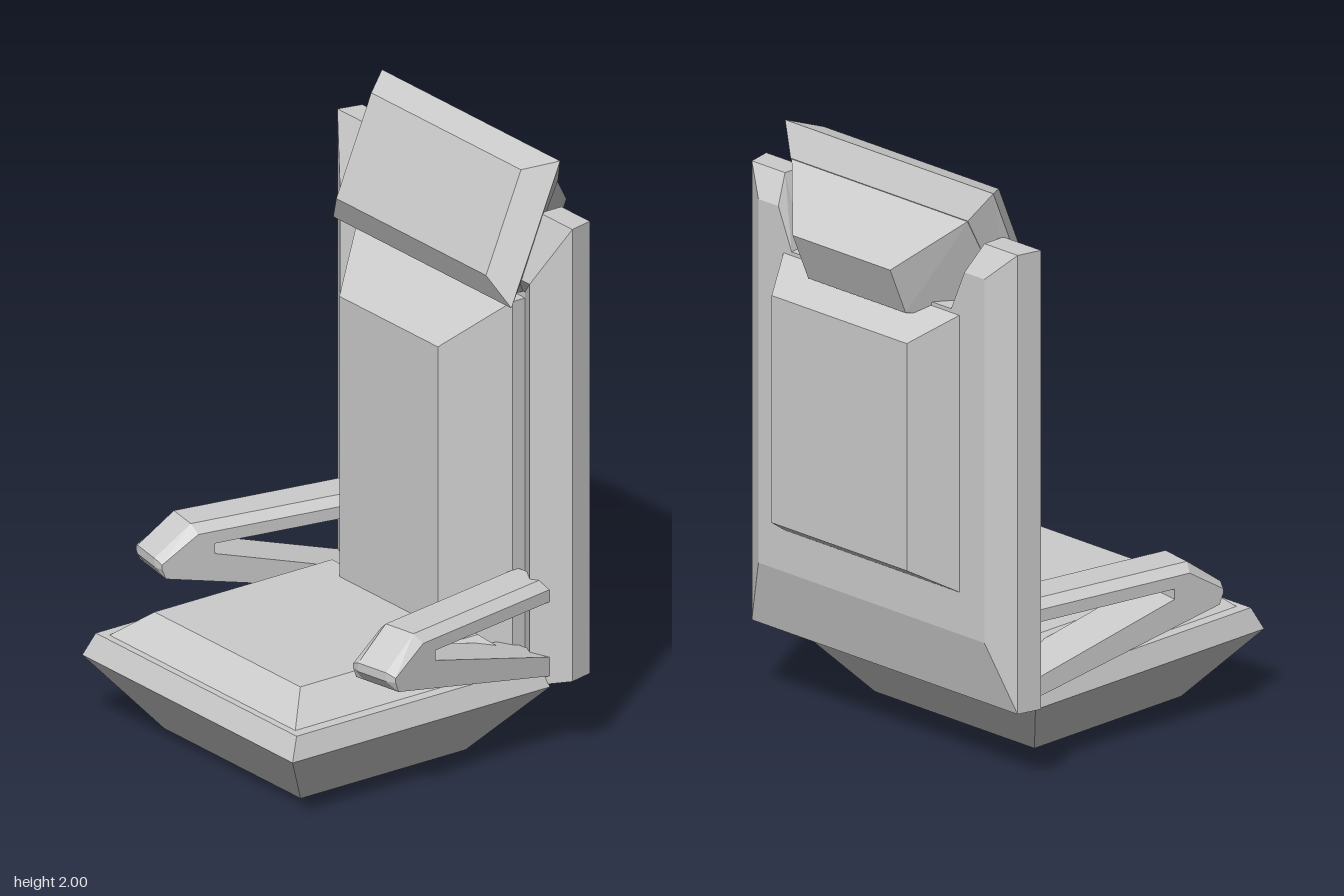
import * as THREE from 'three';

const material = new THREE.MeshStandardMaterial({ color: 0xcccccc, flatShading: true });

// Skins a stack of equal-length rings of [x, y, z]; axis is the stacking direction.
function loft(name, rings, axis = 2) {
  const pos = [];
  let volume = 0;
  const tri = (a, b, c) => {
    const [A, B, C] = [a, b, c].map((p) => new THREE.Vector3(...p));
    volume += A.clone().dot(B.clone().cross(C));
    pos.push([a, b, c]);
  };
  const n = rings[0].length;
  for (let r = 0; r < rings.length - 1; r++) {
    for (let i = 0; i < n; i++) {
      const j = (i + 1) % n;
      const a = rings[r], b = rings[r + 1];
      tri(a[i], a[j], b[j]);
      tri(a[i], b[j], b[i]);
    }
  }
  // end caps
  const cap = (ring, reverse) => {
    const flat = ring.map((p) => new THREE.Vector2(p[(axis + 1) % 3], p[(axis + 2) % 3]));
    const sign = Math.sign(THREE.ShapeUtils.area(flat));
    for (const [i, j, k] of THREE.ShapeUtils.triangulateShape(flat.slice(), [])) {
      const same = Math.sign(THREE.ShapeUtils.area([flat[i], flat[j], flat[k]])) === sign;
      if (same !== reverse) tri(ring[i], ring[j], ring[k]);
      else tri(ring[i], ring[k], ring[j]);
    }
  };
  cap(rings[0], true);
  cap(rings[rings.length - 1], false);
  // turn faces outward
  const faces = volume < 0 ? pos.map(([a, b, c]) => [a, c, b]) : pos;
  const geometry = new THREE.BufferGeometry();
  geometry.setAttribute('position', new THREE.Float32BufferAttribute(faces.flat(2), 3));
  geometry.computeVertexNormals();
  const mesh = new THREE.Mesh(geometry, material);
  mesh.name = name;
  return mesh;
}

// Level rectangle at height y
const slab = (y, w, back, front) =>
  [[-w, y, back], [w, y, back], [w, y, front], [-w, y, front]];

// Upright, optionally tilted rectangle
const panel = (w, y0, z0, y1, z1 = z0) =>
  [[-w, y0, z0], [w, y0, z0], [w, y1, z1], [-w, y1, z1]];

// Backrest outline with a notch in its top edge
function notched(z, w, y0, y1, notchTop, notchBase, notchY) {
  const half = [[w, y0, z], [w, y1, z], [notchTop, y1, z], [notchBase, notchY, z]];
  return [...half, ...half.map(([x, y, q]) => [-x, y, q]).reverse()];
}

// V-shaped armrest, chamfered along its top
function armrest(side) {
  const profile = (drop) => [
    [0.6 - drop, -0.35], [0.6 - drop, 0.27 - drop * 0.4], [0.505 - drop * 0.5, 0.4 - drop * 0.4],
    [0.475, 0.4 - drop * 0.4], [0.44, 0.375], [0.27, -0.35],
    [0.335, -0.35], [0.495, 0.2], [0.53, 0.2], [0.53, -0.35],
  ];
  const rings = [[-0.092, 0.028], [-0.06, 0], [0.06, 0], [0.092, 0.028]]
    .map(([x, drop]) => profile(drop).map(([y, z]) => [x, y, z]));
  const arm = loft(side > 0 ? 'leftArmrest' : 'rightArmrest', rings, 0);
  arm.position.x = side * 0.525;
  arm.rotation.y = side * 0.18;
  return arm;
}

export function createModel() {
  const model = new THREE.Group();
  model.name = 'seat';

  // Seat pan and its cushion
  model.add(loft('seatPan', [
    slab(0, 0.36, -0.16, 0.5),
    slab(0.235, 0.555, -0.35, 0.68),
    slab(0.31, 0.53, -0.33, 0.645),
  ], 1));
  model.add(loft('seatCushion', [
    slab(0.3, 0.49, -0.3, 0.62),
    slab(0.31, 0.49, -0.3, 0.62),
    slab(0.4, 0.385, -0.19, 0.52),
  ], 1));

  // Backrest shell, dished at the front
  model.add(loft('backrestShell', [
    notched(-0.36, 0.41, 0.25, 1.55, 0.4, 0.36, 1.53),
    notched(-0.31, 0.5, 0.23, 1.62, 0.44, 0.38, 1.54),
    notched(-0.39, 0.62, 0.265, 1.83, 0.45, 0.37, 1.6),
    notched(-0.475, 0.6, 0.265, 1.83, 0.45, 0.37, 1.6),
    notched(-0.535, 0.51, 0.5, 1.74, 0.42, 0.36, 1.6),
  ]));

  // Padding on both faces of the backrest
  model.add(loft('backCushion', [
    panel(0.41, 0.3, -0.4, 1.53),
    panel(0.41, 0.3, -0.31, 1.53),
    panel(0.26, 0.3, -0.125, 1.37),
  ]));
  model.add(loft('rearPanel', [
    panel(0.4, 0.64, -0.53, 1.59),
    panel(0.305, 0.73, -0.68, 1.505),
  ]));

  // Tilted headrest and the block that carries it
  model.add(loft('headrestPad', [
    panel(0.395, 1.64, -0.215, 1.97, -0.355),
    panel(0.47, 1.54, -0.26, 2, -0.455),
    panel(0.4, 1.56, -0.32, 1.9, -0.5),
  ]));
  model.add(loft('headrestBlock', [
    panel(0.4, 1.54, -0.31, 1.9, -0.495),
    panel(0.22, 1.565, -0.6, 1.73, -0.67),
  ]));

  // Armrests
  for (const side of [1, -1]) model.add(armrest(side));

  return model;
}
